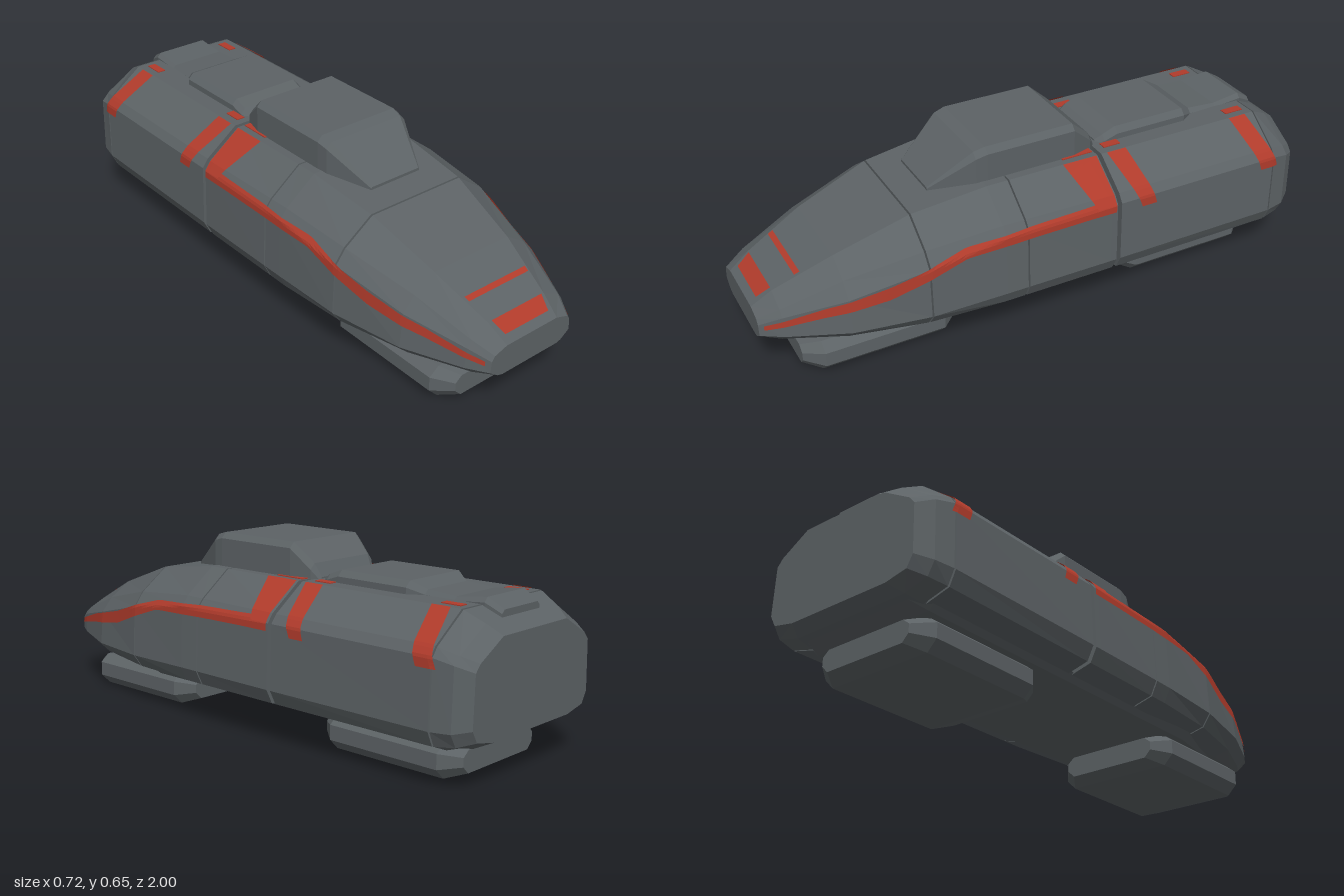
import * as THREE from 'three';

const grey = new THREE.MeshStandardMaterial({ color: 0x5c6265 });
grey.name = 'hull grey';
const red = new THREE.MeshStandardMaterial({ color: 0xb03b2b, side: THREE.DoubleSide });
red.name = 'marking red';

// Hull sections, front to back: z, then half outline [x, y] from roof edge to floor edge
const HULL = [
  [1.0, [[.11, .268], [.16, .252], [.172, .235], [.175, .195], [.14, .17], [.12, .165]]],
  [.93, [[.122, .316], [.19, .285], [.208, .262], [.215, .192], [.18, .16], [.15, .15]]],
  [.73, [[.16, .41], [.24, .36], [.285, .31], [.297, .19], [.26, .153], [.2, .138]]],
  [.47, [[.19, .503], [.3, .425], [.338, .375], [.347, .195], [.315, .15], [.23, .13]]],
  [.2, [[.205, .538], [.32, .45], [.348, .415], [.357, .2], [.333, .15], [.24, .125]]],
  [-.2, [[.208, .54], [.33, .45], [.352, .42], [.36, .2], [.335, .15], [.24, .125]]],
  [-.88, [[.208, .54], [.33, .45], [.352, .42], [.358, .2], [.335, .15], [.24, .125]]],
  [-.95, [[.19, .505], [.312, .43], [.338, .405], [.345, .203], [.32, .158], [.23, .135]]],
  [-1.0, [[.17, .472], [.28, .41], [.302, .385], [.308, .215], [.285, .175], [.2, .158]]],
];

const lerp = THREE.MathUtils.lerp;

// Half outline of the hull at any z
function hullAt(z) {
  let i = 0;
  while (i < HULL.length - 2 && HULL[i + 1][0] > z) i++;
  const [z0, a] = HULL[i], [z1, b] = HULL[i + 1];
  const t = (z - z0) / (z1 - z0);
  return a.map((p, k) => [lerp(p[0], b[k][0], t), lerp(p[1], b[k][1], t)]);
}

// Half width of the hull at a given z and height
function widthAt(z, y) {
  const h = hullAt(z);
  if (y >= h[0][1]) return h[0][0];
  for (let k = 0; k < h.length - 1; k++) {
    const [x0, y0] = h[k], [x1, y1] = h[k + 1];
    if (y <= y0 && y >= y1) return lerp(x0, x1, (y0 - y) / (y0 - y1));
  }
  return h[h.length - 1][0];
}

function addMesh(group, name, geometry, material) {
  const mesh = new THREE.Mesh(geometry, material);
  mesh.name = name;
  group.add(mesh);
  return mesh;
}

// Closed faceted solid through mirrored sections [z, half outline], front to back
function loft(sections) {
  const rings = sections.map(([z, half]) => [
    ...half.map(([x, y]) => [x, y, z]),
    ...half.slice().reverse().map(([x, y]) => [-x, y, z]),
  ]);
  const pos = [];
  const tri = (a, b, c) => pos.push(...a, ...b, ...c);
  const n = rings[0].length;
  for (let i = 0; i < rings.length - 1; i++) {
    for (let j = 0; j < n; j++) {
      const k = (j + 1) % n;
      tri(rings[i][j], rings[i][k], rings[i + 1][k]);
      tri(rings[i][j], rings[i + 1][k], rings[i + 1][j]);
    }
  }
  const first = rings[0], last = rings[rings.length - 1];
  for (let j = 1; j < n - 1; j++) {
    tri(first[0], first[j + 1], first[j]);
    tri(last[0], last[j], last[j + 1]);
  }
  const g = new THREE.BufferGeometry();
  g.setAttribute('position', new THREE.Float32BufferAttribute(pos, 3));
  g.computeVertexNormals();
  return g;
}

// Thin skin sampled from a rule (u, v) -> [x, y, z]
function skin(rule, nu, nv) {
  const pos = [];
  for (let i = 0; i < nu; i++) {
    for (let j = 0; j < nv; j++) {
      const [a, b, c, d] = [[i, j], [i + 1, j], [i + 1, j + 1], [i, j + 1]]
        .map(([u, v]) => rule(u / nu, v / nv));
      pos.push(...a, ...b, ...c, ...a, ...c, ...d);
    }
  }
  const g = new THREE.BufferGeometry();
  g.setAttribute('position', new THREE.Float32BufferAttribute(pos, 3));
  g.computeVertexNormals();
  return g;
}

// Roof pod section: vertical walls with a chamfered top edge
const podSection = ([z, w, top, c]) => [z, [[w - c, top], [w, top - c], [w, Math.min(.5, top - c - .02)]]];

// Octagonal skid section
const skidSection = (z, w, y0, y1, c) =>
  [z, [[w - c, y1], [w, y1 - c * .8], [w, y0 + c], [w - c, y0]]];

export function createModel() {
  const model = new THREE.Group();
  model.name = 'hoverTrain';

  // Hull segments separated by narrow seams
  const segments = [
    ['nose', 1, .473], ['frontCabin', .467, .123], ['rearCabin', .117, -.222],
    ['cargoBody', -.238, -.877], ['tailCap', -.883, -1],
  ];
  for (const [name, z0, z1] of segments) {
    const inner = HULL.filter(([z]) => z < z0 - .001 && z > z1 + .001);
    addMesh(model, name, loft([[z0, hullAt(z0)], ...inner, [z1, hullAt(z1)]]), grey);
  }

  // Keel joining the segments
  const keel = (z, w, y) => [z, [[w, y + .03], [w + .025, y + .025], [w, y]]];
  addMesh(model, 'keel', loft([
    keel(.9, .13, .145), keel(.45, .24, .112), keel(-.86, .24, .112), keel(-.97, .2, .145),
  ]), grey);

  // Skids under the front and rear
  for (const [name, zc] of [['frontSkid', .595], ['rearSkid', -.607]]) {
    addMesh(model, name, loft([
      skidSection(zc + .277, .185, .025, .1, .025),
      skidSection(zc + .215, .238, .004, .12, .036),
      skidSection(zc - .215, .238, .004, .12, .036),
      skidSection(zc - .277, .185, .025, .1, .025),
    ]), grey);
  }

  // Roof pods: z, half width, top height, chamfer
  addMesh(model, 'frontRoofPod', loft([
    [.37, .105, .526, .004], [.22, .17, .645, .02], [.18, .175, .656, .02],
    [-.15, .175, .656, .02], [-.225, .155, .59, .02], [-.25, .135, .545, .01],
  ].map(podSection)), grey);
  addMesh(model, 'rearRoofPod', loft([
    [-.262, .13, .545, .01], [-.29, .146, .562, .018], [-.34, .147, .581, .02],
    [-.62, .147, .581, .02], [-.67, .115, .556, .015], [-.78, .113, .549, .012],
    [-.89, .113, .562, .015], [-.945, .1, .53, .012],
  ].map(podSection)), grey);

  // Side stripe: z, lower and upper height
  const stripe = [
    [.985, .216, .232], [.8, .256, .288], [.6, .29, .335], [.45, .345, .385],
    [.34, .382, .415], [.1, .39, .43], [-.1, .393, .435], [-.216, .393, .44],
  ];
  const stripeAt = (z) => {
    let i = 0;
    while (i < stripe.length - 2 && stripe[i + 1][0] > z) i++;
    const a = stripe[i], b = stripe[i + 1], t = (z - a[0]) / (b[0] - a[0]);
    return [lerp(a[1], b[1], t), lerp(a[2], b[2], t)];
  };
  const onSide = (side, z, y) => [side * (widthAt(z, y) + .004), y + .002, z];

  // Shoulder bands: name, lower and upper height, z range at the bottom and at the top
  const bands = [
    ['cabinBand', .42, .54, [-.145, -.216], [-.085, -.216]],
    ['cargoFrontBand', .385, .54, [-.32, -.378], [-.258, -.333]],
    ['cargoRearBand', .385, .54, [-.825, -.897], [-.77, -.84]],
  ];
  // Small roof patches beside the pods: x centre, width, z range
  const patches = [[.168, .03, -.1, -.216], [.163, .03, -.267, -.333], [.165, .03, -.78, -.853]];

  for (const [label, s] of [['left', 1], ['right', -1]]) {
    addMesh(model, label + 'Stripe', skin((u, v) => {
      const z = lerp(.985, -.216, u), [lo, hi] = stripeAt(z);
      return onSide(s, z, lerp(lo, hi, v));
    }, 60, 4), red);
    for (const [name, y0, y1, low, high] of bands) {
      addMesh(model, label + name, skin((u, v) => {
        const z = lerp(lerp(low[0], low[1], u), lerp(high[0], high[1], u), v);
        return onSide(s, z, lerp(y0, y1, v));
      }, 4, 16), red);
    }
    for (const [x, w, z0, z1] of patches) {
      addMesh(model, label + 'RoofPatch', new THREE.BoxGeometry(w, .006, z0 - z1), red)
        .position.set(s * x, .54, (z0 + z1) / 2);
    }
  }

  // Nose markings: z and half width at the rear and front edges
  const marks = [['noseBar', .835, .133, .853, .13], ['nosePlate', .93, .11, .976, .095]];
  for (const [name, z0, w0, z1, w1] of marks) {
    addMesh(model, name, skin((u, v) => {
      const z = lerp(z0, z1, v), w = lerp(w0, w1, v);
      return [lerp(-w, w, u), hullAt(z)[0][1] + .004, z];
    }, 1, 2), red);
  }
  return model;
}
